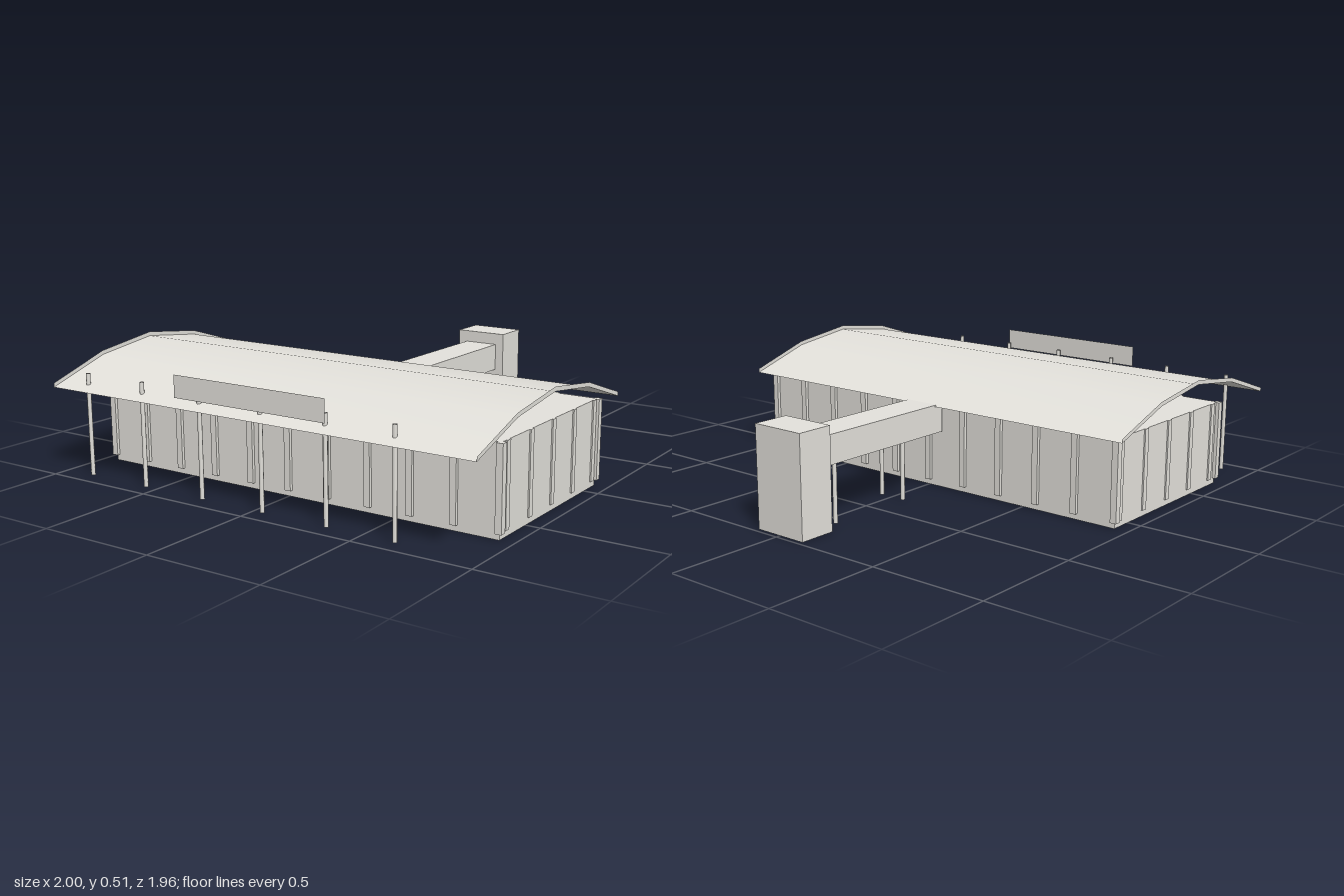
import * as THREE from 'three';

// Double-sided because the roof, rims, board and posts are open surfaces
const grey = new THREE.MeshStandardMaterial({ color: 0xe4e2dc, side: THREE.DoubleSide });
grey.name = 'warmGrey';

function add(parent, name, geometry, x, y, z) {
  const mesh = new THREE.Mesh(geometry, grey);
  mesh.name = name;
  mesh.position.set(x, y, z);
  parent.add(mesh);
  return mesh;
}

// Box given by its limits on each axis
function block(parent, name, [x0, x1], [y0, y1], [z0, z1]) {
  return add(parent, name, new THREE.BoxGeometry(x1 - x0, y1 - y0, z1 - z0),
    (x0 + x1) / 2, (y0 + y1) / 2, (z0 + z1) / 2);
}

// Open-ended tube standing on the ground
function post(parent, name, x, z, height) {
  return add(parent, name, new THREE.CylinderGeometry(0.009, 0.009, height, 8, 1, true), x, height / 2, z);
}

// Strip between two lines of points, with smooth normals along the strip
function strip(a, b) {
  const positions = [];
  const index = [];
  a.forEach((p, i) => {
    positions.push(...p, ...b[i]);
    if (i) {
      const k = 2 * i;
      index.push(k - 2, k - 1, k, k - 1, k + 1, k);
    }
  });
  const geometry = new THREE.BufferGeometry();
  geometry.setAttribute('position', new THREE.Float32BufferAttribute(positions, 3));
  geometry.setIndex(index);
  geometry.computeVertexNormals();
  return geometry;
}

function buildRoof() {
  const roof = new THREE.Group();
  roof.name = 'roof';
  // [z, y] profiles of the sheet and of the rim tops, front eave to back eave
  const sheet = [[0.98, 0.367], [0.697, 0.458], [0.41, 0.495], [0.123, 0.458], [-0.16, 0.367]];
  const rim = [[0.98, 0.384], [0.7, 0.475], [0.41, 0.513], [0.12, 0.475], [-0.16, 0.384]];
  const at = (profile, x) => profile.map(([z, y]) => [x, y, z]);

  add(roof, 'roofSheet', strip(at(sheet, -1), at(sheet, 1)), 0, 0, 0);

  // Thin upright rims along the gable ends, facing outwards
  add(roof, 'leftGableRim', strip(at(sheet, 1), at(rim, 1)), 0, 0, 0);
  add(roof, 'rightGableRim', strip(at(rim, -1), at(sheet, -1)), 0, 0, 0);
  return roof;
}

export function createModel() {
  const model = new THREE.Group();
  model.name = 'pavilion';

  // Main hall
  const hall = new THREE.Group();
  hall.name = 'hall';
  model.add(hall);
  block(hall, 'hallWalls', [-0.939, 0.939], [0, 0.361], [-0.097, 0.7]);

  // Columns standing proud of the long walls
  const column = new THREE.BoxGeometry(0.028, 0.336, 0.028);
  for (let i = 0; i <= 10; i++) {
    const x = -0.94 + i * 0.188;
    add(hall, 'frontColumn', column, x, 0.193, 0.699);
    add(hall, 'backColumn', column, x, 0.193, -0.097);
  }
  // Shallower columns on the end walls
  const sideColumn = new THREE.BoxGeometry(0.014, 0.336, 0.026);
  for (let i = 0; i < 5; i++) {
    const z = 0.651 - i * 0.179;
    for (const x of [-0.938, 0.938]) add(hall, 'sideColumn', sideColumn, x, 0.193, z);
  }

  model.add(buildRoof());

  // Porch posts passing through the front eave
  for (let i = 0; i < 6; i++) post(model, 'porchPost', -0.86 + i * 0.3, 0.92, 0.432);

  // Blank board above the eave
  add(model, 'frontBoard', new THREE.PlaneGeometry(0.72, 0.092), 0, 0.446, 0.95);

  // Raised rear corridor on legs, ending in a tower
  block(model, 'corridor', [-0.08, 0.078], [0.25, 0.372], [-0.825, -0.108]);
  block(model, 'tower', [-0.122, 0.118], [0, 0.424], [-0.98, -0.82]);
  for (const z of [-0.338, -0.737]) {
    for (const x of [-0.058, 0.058]) post(model, 'corridorLeg', x, z, 0.25);
  }

  return model;
}
